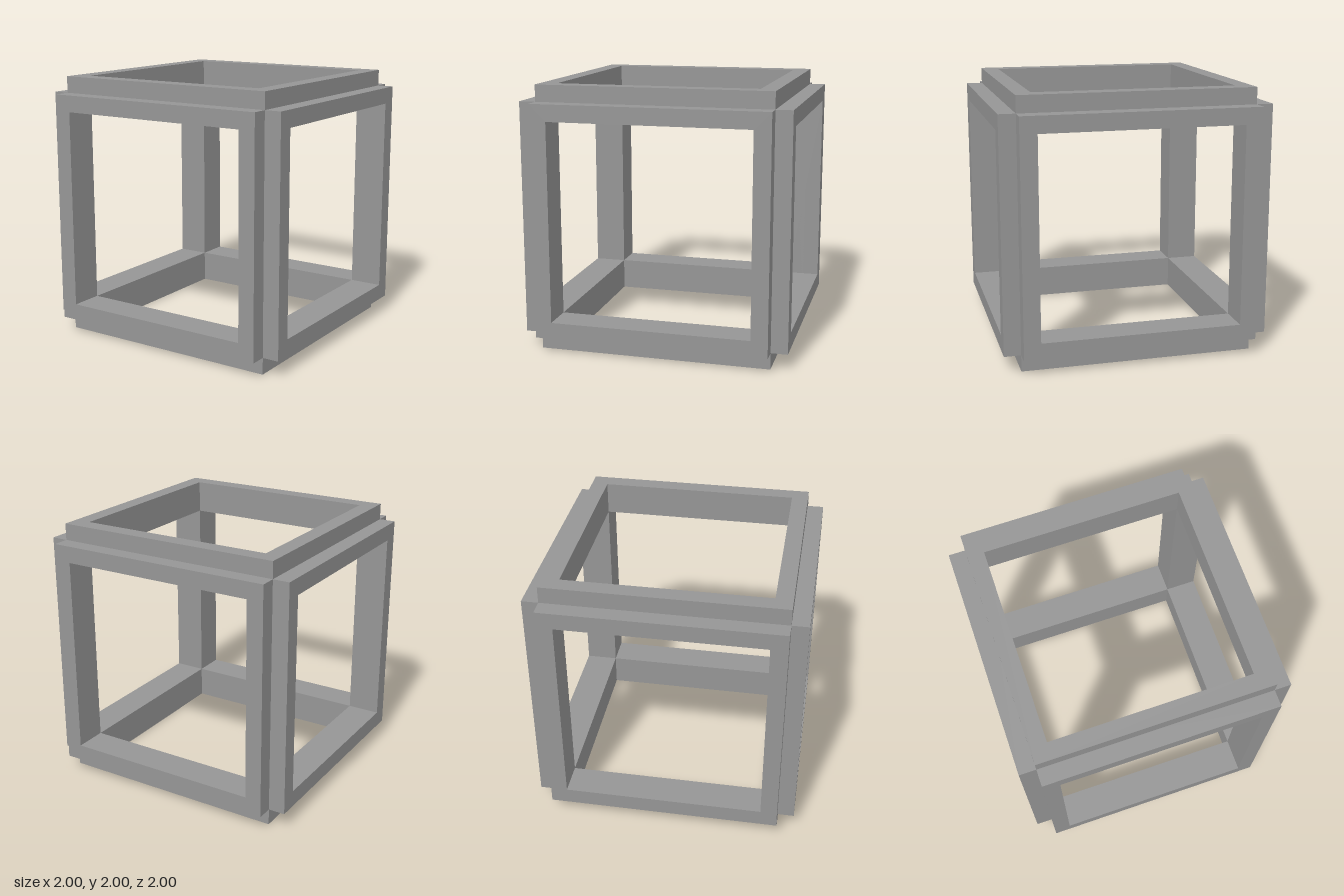
import * as THREE from 'three';

const OUTER = 0.875, INNER = 0.75, REACH = 1;

// Square outline of the given half width
function square(PathType, h) {
  const p = new PathType();
  p.moveTo(-h, -h);
  p.lineTo(h, -h);
  p.lineTo(h, h);
  p.lineTo(-h, h);
  p.closePath();
  return p;
}

export function createModel() {
  const grey = new THREE.MeshStandardMaterial({ color: 0x969696 });
  grey.name = 'grey';

  // One square frame facing +z, reaching from the inner cube to the outside
  const shape = square(THREE.Shape, OUTER);
  shape.holes.push(square(THREE.Path, INNER));
  const frame = new THREE.ExtrudeGeometry(shape, { depth: REACH - INNER, bevelEnabled: false });
  frame.translate(0, 0, INNER);

  // The same frame turned to each side of the cube: name, x turn, y turn
  const q = Math.PI / 2;
  const sides = [
    ['frontFrame', 0, 0], ['leftFrame', 0, q], ['backFrame', 0, 2 * q],
    ['rightFrame', 0, -q], ['topFrame', -q, 0], ['bottomFrame', q, 0],
  ];
  const model = new THREE.Group();
  model.name = 'openCubeFrame';
  for (const [name, rx, ry] of sides) {
    const mesh = new THREE.Mesh(frame, grey);
    mesh.name = name;
    mesh.rotation.set(rx, ry, 0);
    mesh.position.y = 1;
    model.add(mesh);
  }
  return model;
}
